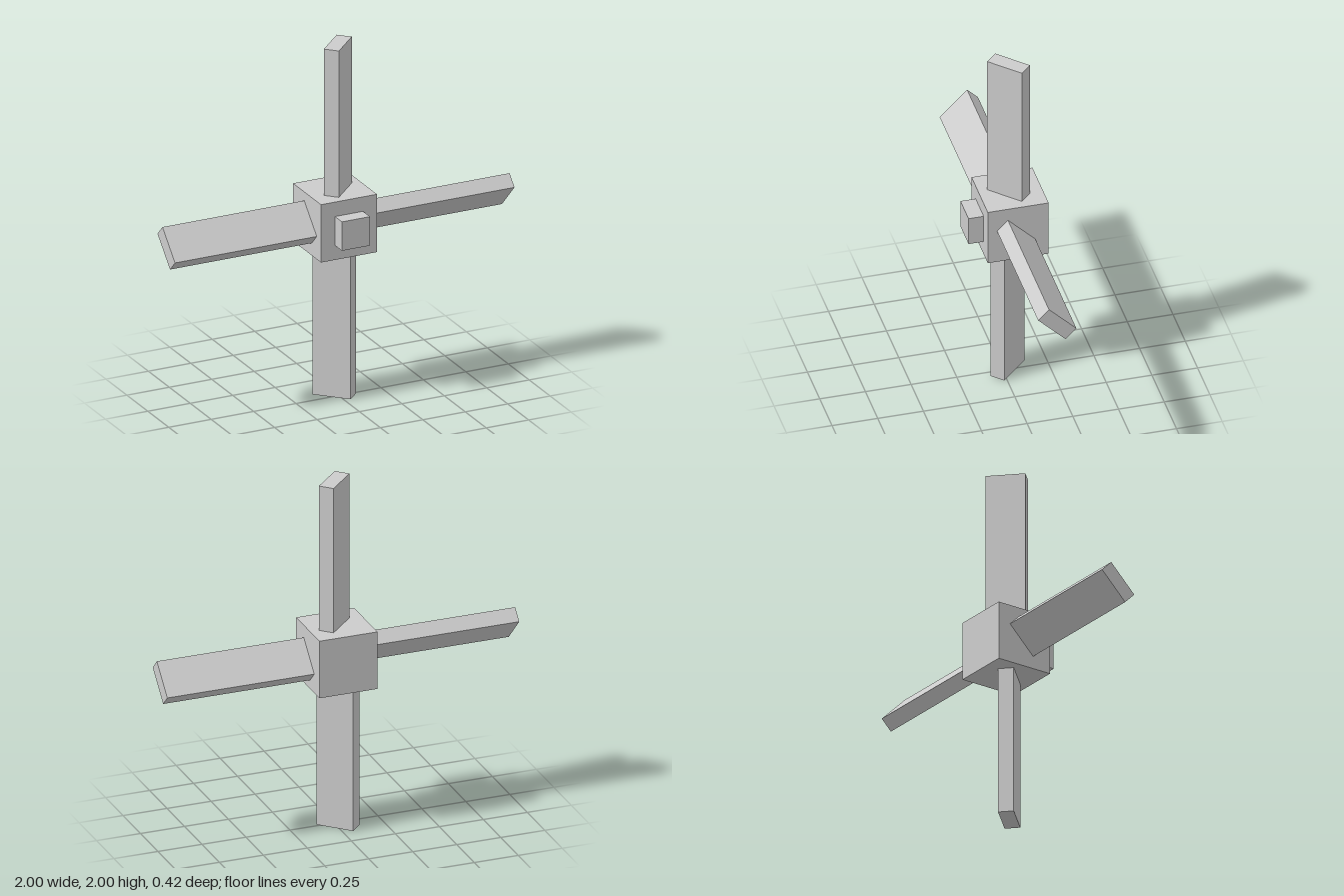
import * as THREE from 'three';

export function createModel() {
  const model = new THREE.Group();
  const material = new THREE.MeshStandardMaterial({ color: 0xcccccc, flatShading: true });

  const addBox = (parent, name, size, position) => {
    const mesh = new THREE.Mesh(new THREE.BoxGeometry(...size), material);
    mesh.name = name;
    mesh.position.set(...position);
    parent.add(mesh);
    return mesh;
  };

  // Central block with a small peg on its front
  addBox(model, 'hub', [0.33, 0.33, 0.333], [0, 1, -0.0415]);
  addBox(model, 'frontPeg', [0.165, 0.165, 0.093], [0, 1, 0.1615]);

  // Four flat blades pitched at 45 degrees, a quarter turn apart
  const inner = 0.15, outer = 1;
  ['topBlade', 'rightBlade', 'bottomBlade', 'leftBlade'].forEach((name, i) => {
    const arm = new THREE.Group();
    arm.name = name;
    arm.position.set(0, 1, -0.03);
    arm.rotation.z = i * Math.PI / 2;
    const blade = addBox(arm, name + 'Panel', [0.212, outer - inner, 0.084],
      [0.0105, (inner + outer) / 2, 0]);
    blade.rotation.y = Math.PI / 4;
    model.add(arm);
  });

  return model;
}
